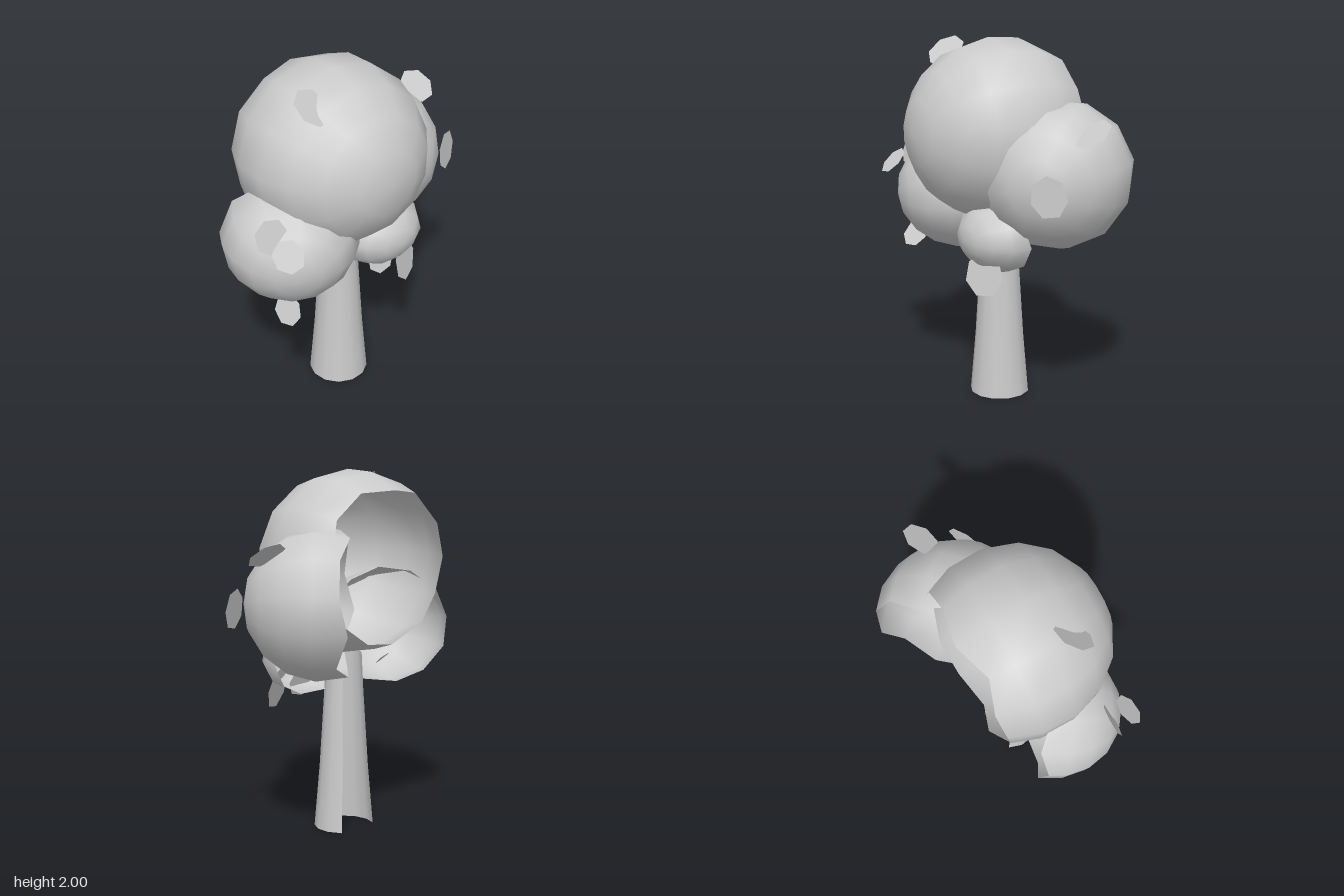
import * as THREE from 'three';

const grey = new THREE.MeshStandardMaterial({ color: 0xcccccc, side: THREE.DoubleSide });
const UP = new THREE.Vector3(0, 1, 0);
const FORWARD = new THREE.Vector3(0, 0, 1);

// Open foliage shell: an ellipsoid cap around a pole direction, with an uneven rim
function foliageShell(name, center, radii, pole, openAngle, segments, rings) {
  const geo = new THREE.SphereGeometry(1, segments, rings, 0, Math.PI * 2, 0, THREE.MathUtils.degToRad(openAngle));
  const pos = geo.attributes.position;
  const v = new THREE.Vector3();
  const rimStart = rings * (segments + 1);
  for (let i = rimStart; i < pos.count; i++) {
    const k = (i - rimStart) % segments;
    v.fromBufferAttribute(pos, i);
    v.y += 0.09 * Math.sin(k * 2.4);
    v.normalize();
    pos.setXYZ(i, v.x, v.y, v.z);
  }
  geo.applyQuaternion(new THREE.Quaternion().setFromUnitVectors(UP, new THREE.Vector3(...pole).normalize()));
  geo.scale(...radii);
  const mesh = new THREE.Mesh(geo, grey);
  mesh.name = name;
  mesh.position.set(...center);
  return mesh;
}

// Flat seven-sided leaf facing a given direction
function leaf(center, normal, radius) {
  const mesh = new THREE.Mesh(new THREE.CircleGeometry(radius, 7), grey);
  mesh.name = 'leaf';
  mesh.position.set(...center);
  mesh.quaternion.setFromUnitVectors(FORWARD, new THREE.Vector3(...normal).normalize());
  return mesh;
}

export function createModel() {
  const tree = new THREE.Group();
  tree.name = 'tree';

  // Tapered trunk, open along the back and wider open on the right
  const profile = [[0.167, 0], [0.137, 0.35], [0.11, 0.78], [0.1, 0.99]].map(([r, y]) => new THREE.Vector2(r, y));
  const gapRight = 1.1, gapLeft = 0.72;
  const trunk = new THREE.Mesh(
    new THREE.LatheGeometry(profile, 9, Math.PI + gapRight, Math.PI * 2 - gapRight - gapLeft), grey);
  trunk.name = 'trunk';
  trunk.position.set(-0.035, 0, 0.045);
  tree.add(trunk);

  // Foliage shells, all open towards the back
  tree.add(
    foliageShell('mainFoliage', [-0.075, 1.495, 0.03], [0.515, 0.505, 0.52], [0.08, 0.05, 1], 122, 13, 6),
    foliageShell('leftFoliage', [0.265, 1.3, -0.15], [0.405, 0.405, 0.42], [0.75, 0, 0.66], 108, 12, 5),
    foliageShell('rightFoliage', [-0.385, 1.11, 0.12], [0.37, 0.335, 0.37], [-0.4, -0.1, 0.9], 100, 12, 5),
    foliageShell('lowerFoliage', [0.155, 0.97, 0.12], [0.265, 0.2, 0.235], [0.1, 0, 1], 95, 10, 4),
  );

  // Loose leaves around the crown
  const leaves = [
    [[-0.31, 1.91, 0.24], [0.3, 0.75, 0.58], 0.11],
    [[0.62, 1.575, -0.17], [0.1, 0.8, 0.6], 0.105],
    [[0.65, 1.28, 0.09], [0.55, 0.1, 0.83], 0.11],
    [[0.26, 0.79, 0.27], [0.5, 0.2, 0.8], 0.12],
    [[0.13, 0.82, 0.22], [0.1, 0.3, 0.95], 0.09],
    [[-0.54, 0.83, 0.35], [0.3, 0.6, 0.7], 0.088],
    [[-0.59, 1.26, 0.46], [0, 0.7, 0.7], 0.09],
    [[-0.62, 1.32, 0.345], [0, 0.35, 0.94], 0.095],
  ];
  for (const args of leaves) tree.add(leaf(...args));

  return tree;
}
